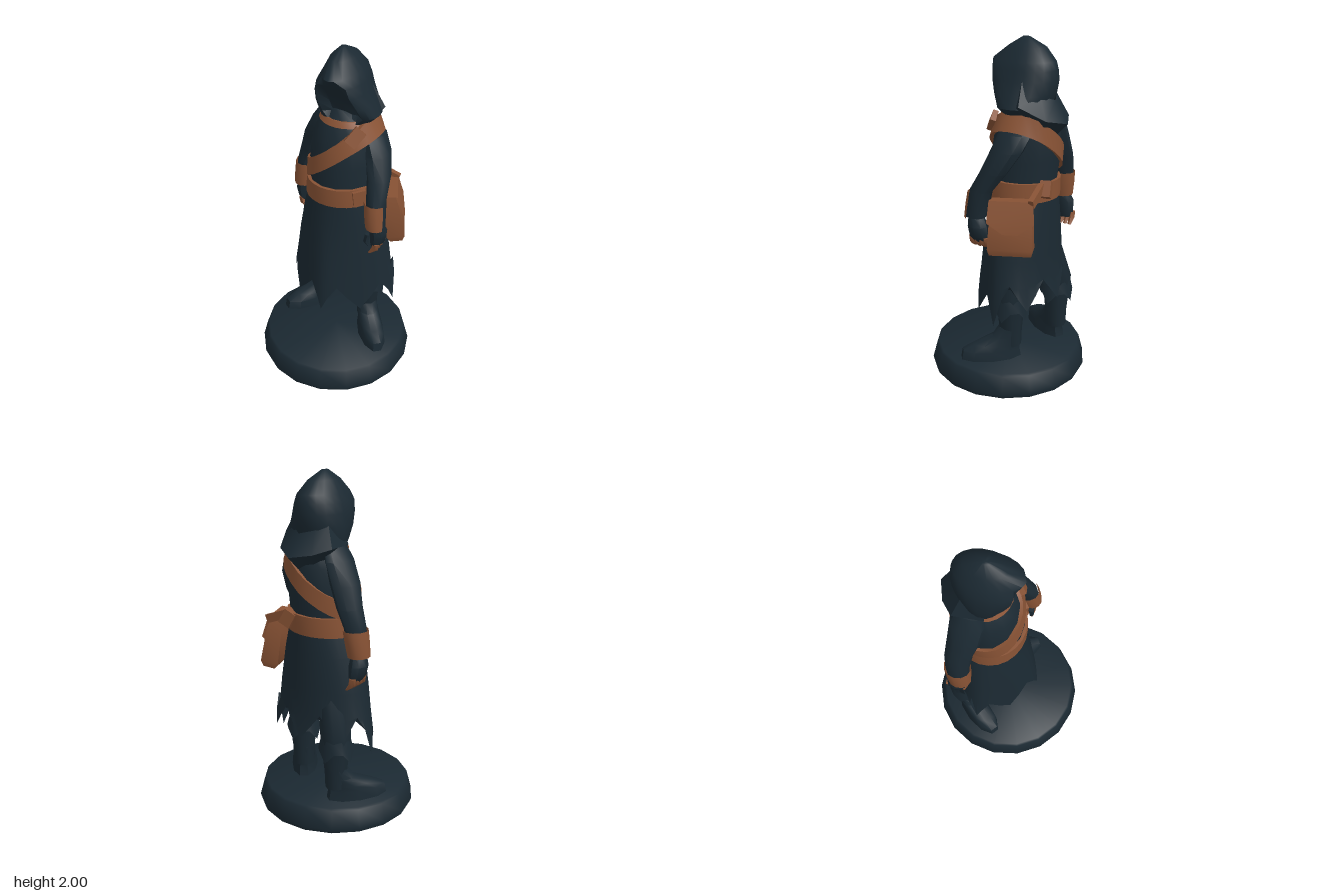
import * as THREE from 'three';
import { toCreasedNormals } from 'three/addons/utils/BufferGeometryUtils.js';

const cloth = new THREE.MeshStandardMaterial({ color: 0x1b2932, side: THREE.DoubleSide });
cloth.name = 'dark cloth';
const leather = new THREE.MeshStandardMaterial({ color: 0x895335, side: THREE.DoubleSide });
leather.name = 'brown leather';

// Elliptical cross-section; k shapes the front half (> 1 pointed, < 1 square), rot turns it about y
function ring(x, y, z, rx, rz, n = 10, rot = 0, k = 1) {
  return Array.from({ length: n }, (_, j) => {
    const a = (j / n) * Math.PI * 2, c = Math.cos(a), s = Math.sin(a);
    const e = s > 0 ? k : 1;
    const X = rx * Math.sign(c) * Math.abs(c) ** e, Z = rz * Math.sign(s) * Math.abs(s) ** e;
    return [x + X * Math.cos(rot) + Z * Math.sin(rot), y, z - X * Math.sin(rot) + Z * Math.cos(rot)];
  });
}

const collapse = (r) => {
  const c = [0, 1, 2].map((i) => r.reduce((t, p) => t + p[i], 0) / r.length);
  return r.map(() => c);
};

// Skin a list of cross-sections ordered from top to bottom
function loft(rings, { capped = true, closed = true, crease = 0.8 } = {}) {
  if (capped) rings = [collapse(rings[0]), ...rings, collapse(rings[rings.length - 1])];
  const n = rings[0].length, index = [];
  for (let i = 0; i < rings.length - 1; i++) {
    for (let j = 0; j < (closed ? n : n - 1); j++) {
      const a = i * n + j, b = i * n + ((j + 1) % n);
      index.push(a, b, a + n, b, b + n, a + n);
    }
  }
  const g = new THREE.BufferGeometry();
  g.setAttribute('position', new THREE.Float32BufferAttribute(rings.flat(2), 3));
  g.setIndex(index);
  return toCreasedNormals(g, crease);
}

// Torso sections: y, centre x, centre z, half width, half depth
const TORSO = [
  [1.66, 0, -0.14, 0.09, 0.1], [1.6, 0.01, -0.14, 0.155, 0.15], [1.5, 0, -0.125, 0.185, 0.185],
  [1.35, 0, -0.115, 0.2, 0.195], [1.2, 0, -0.1, 0.2, 0.19], [1.08, 0, -0.1, 0.21, 0.19],
];

// Point on the torso surface at an angle and height, pushed out by off
function onTorso(a, y, off) {
  let i = 0;
  while (i < TORSO.length - 2 && y < TORSO[i + 1][0]) i++;
  const t = THREE.MathUtils.clamp((TORSO[i][0] - y) / (TORSO[i][0] - TORSO[i + 1][0]), 0, 1);
  const [, cx, cz, rx, rz] = TORSO[i].map((v, m) => THREE.MathUtils.lerp(v, TORSO[i + 1][m], t));
  return [cx + (rx + off) * Math.cos(a), y, cz + (rz + off) * Math.sin(a)];
}

// Flat leather band wrapped round the torso; lift raises it over the left shoulder
function band(height, half, off, lift = 0) {
  const edge = (dy, o) => Array.from({ length: 24 }, (_, j) => {
    const a = (j / 24) * Math.PI * 2;
    return onTorso(a, height(a) + dy, o + lift * Math.max(0, Math.cos(a)) ** 2);
  });
  return loft([edge(half, -0.01), edge(half, off), edge(-half, off), edge(-half, -0.01)], { capped: false });
}

export function createModel() {
  const model = new THREE.Group();
  const add = (name, geo, mat = cloth, parent = model) => {
    const m = new THREE.Mesh(geo, mat);
    m.name = name;
    parent.add(m);
  };
  const box = (name, size, pos, rot) => {
    const g = new THREE.BoxGeometry(...size);
    g.applyMatrix4(new THREE.Matrix4().makeRotationFromEuler(new THREE.Euler(...rot, 'YXZ')).setPosition(...pos));
    add(name, g, leather);
  };
  const limb = (sections, n = 9) => loft(sections.map((s) => ring(...s, n)));

  // Round base with a hollow underside
  add('base', loft([[0.145, 0.43], [0.135, 0.442], [0.03, 0.47], [0.005, 0.46], [0, 0.4], [0.025, 0.22]]
    .map(([y, r]) => ring(0, y, 0, r, r, 18, 0.1))));

  // Torso
  add('torso', loft(TORSO.map(([y, x, z, rx, rz]) => ring(x, y, z, rx, rz, 14))));

  // Skirt with a pointed front and a torn hem
  const skirt = [[1.16, 0.2, 0.19, 1], [1.0, 0.245, 0.205, 1.1], [0.8, 0.285, 0.24, 1.25], [0.64, 0.31, 0.267, 1.35]]
    .map(([y, rx, rz, k]) => ring(0, y, -0.1, rx, rz, 32, 0, k)
      .map(([x, h, z]) => [x, h, z < -0.1 ? -0.1 + (z + 0.1) * (0.2 / rz) * (1 + (1.16 - y) * 0.1) : z]));
  const hem = ring(0, 0, -0.1, 0.345, 0.297, 32, 0, 1.4).map(([x, , z], j) => {
    const tip = 1 - Math.abs((j % 4) - (j % 4 > 2 ? 4 : 0)) / 2;
    const back = j > 16 ? 0.09 : 0;
    const s = 0.94 + 0.06 * tip;
    return [x * s, 0.575 + back - 0.16 * tip, -0.1 + (z + 0.1) * s * (z < -0.1 ? 0.78 : 1)];
  });
  add('skirt', loft([...skirt, hem], { capped: false }));

  // Hood: y, centre x, half width, front depth, back depth, front shape, face recess
  const hood = [
    [2.0, -0.01, 0.015, 0.03, 0.01, 1, 0], [1.95, -0.01, 0.068, 0.115, 0.11, 1.1, 0],
    [1.88, 0, 0.112, 0.205, 0.17, 1.15, 0], [1.835, 0, 0.132, 0.2, 0.18, 0.85, 0.025],
    [1.78, 0.002, 0.146, 0.185, 0.185, 0.75, 0.055], [1.71, 0.015, 0.166, 0.15, 0.175, 0.7, 0.065],
    [1.645, 0.03, 0.18, 0.115, 0.15, 0.75, 0.05], [1.595, 0.01, 0.15, 0.11, 0.14, 1, 0],
  ].map(([y, x, rx, front, back, k, inset]) => ring(x, y, -0.115, rx, front, 20, 0, k)
    .map(([px, py, pz], j) => {
      if (j > 10) return [px, py, -0.115 + (pz + 0.115) * (back / front)];
      return [px, py, Math.abs(j - 5) < 2 ? pz - inset : pz];
    }));
  add('hood', loft(hood));

  // Hood drape hanging on the back
  const rim = [[0.15, 1.625, -0.09], [0.21, 1.665, -0.18], [0.14, 1.59, -0.31], [0.02, 1.56, -0.378],
    [-0.1, 1.58, -0.325], [-0.175, 1.61, -0.25], [-0.15, 1.61, -0.08]];
  const inner = (s, dy) => rim.map(([x, y, z]) => [x * s, y + dy, -0.13 + (z + 0.13) * s]);
  add('hoodDrape', loft([inner(0.68, 0.12), rim, inner(0.72, -0.07)], { capped: false, closed: false }));

  // Chest strap, belt and collar
  add('chestStrap', band((a) => 1.42 + 0.165 * Math.cos(a), 0.056, 0.016, 0.025), leather);
  add('belt', band((a) => 1.175 + 0.008 * Math.cos(a), 0.055, 0.016), leather);
  add('collar', band(() => 1.6, 0.015, 0.006), leather);
  box('strapBuckle', [0.07, 0.1, 0.03], [0.13, 1.555, 0.025], [-0.35, 0.5, -0.7]);
  box('beltBuckle', [0.075, 0.085, 0.03], [0.165, 1.19, 0.035], [0, 0.75, 0.1]);
  box('beltKnot', [0.07, 0.09, 0.06], [0.1, 1.2, -0.295], [0, 0.3, 0.5]);
  box('pouchStrap', [0.16, 0.05, 0.03], [0.19, 1.19, -0.285], [0, 0.1, -0.35]);

  // Belt pouch, wider at the bottom, with a flap
  const pouch = new THREE.Group();
  pouch.name = 'pouch';
  pouch.position.set(0.285, 1.02, -0.183);
  pouch.rotation.set(0, 0.41, 0.16, 'YXZ');
  model.add(pouch);
  add('pouchBody', loft([[0.15, 0.03, 0.1], [0.08, 0.045, 0.115], [-0.12, 0.052, 0.125], [-0.155, 0.035, 0.115]]
    .map(([y, w, d]) => [[w, y, -d], [w, y, d], [-w, y, d], [-w, y, -d]])), leather, pouch);
  add('pouchFlap', loft([
    [[-0.03, 0.155, 0.11], [-0.03, 0.155, -0.11]], [[0.045, 0.15, 0.12], [0.045, 0.15, -0.12]],
    [[0.062, 0.03, 0.13], [0.062, 0.03, -0.13]], [[0.064, -0.03, 0.04], [0.064, -0.03, -0.04]],
  ], { capped: false, closed: false, crease: 0.3 }), leather, pouch);

  // Arms, cuffs and hands
  const arms = [
    { side: 'left', path: [[0.125, 1.565, -0.15, 0.04, 0.07], [0.168, 1.51, -0.14, 0.058, 0.1], [0.205, 1.42, -0.11, 0.072, 0.095],
      [0.245, 1.3, -0.05, 0.066, 0.08], [0.265, 1.19, 0.02, 0.056, 0.068], [0.28, 1.04, 0.045, 0.052, 0.062]] },
    { side: 'right', path: [[-0.12, 1.61, -0.16, 0.05, 0.08], [-0.158, 1.54, -0.17, 0.062, 0.1], [-0.208, 1.42, -0.18, 0.075, 0.095],
      [-0.255, 1.3, -0.2, 0.068, 0.08], [-0.295, 1.19, -0.2, 0.058, 0.068], [-0.312, 1.04, -0.19, 0.052, 0.062]] },
  ];
  for (const { side, path } of arms) {
    const s = side === 'left' ? 1 : -1;
    const [[x0, , z0], [x1, , z1]] = path.slice(-2);
    add(side + 'Arm', limb(path));
    const shell = [[1.185, 0.069, x0, z0], [1.11, 0.067, (x0 + x1) / 2, (z0 + z1) / 2], [1.035, 0.061, x1, z1]]
      .map(([y, r, x, z]) => ring(x, y, z, r, r + 0.008, 12));
    // The left cuff wraps only the front and inner side of the sleeve
    add(side + 'Cuff', s > 0 ? loft(shell.map((r) => r.slice(1, 8)), { capped: false, closed: false })
      : loft(shell, { capped: false }), leather);
    add(side + 'Hand', limb([[x1, 1.05, z1, 0.04, 0.045], [x1 + 0.01 * s, 0.99, z1 - 0.015, 0.05, 0.06],
      [x1 + 0.005 * s, 0.93, z1 - 0.02, 0.042, 0.058], [x1 - 0.005 * s, 0.895, z1 - 0.02, 0.025, 0.045]], 8));
    for (let f = 0; f < 4; f++) {
      const z = z1 - 0.07 + f * 0.03;
      add(side + 'Finger', limb([[x1 + 0.012 * s, 0.925, z, 0.021, 0.018], [x1 + 0.004 * s, 0.885, z, 0.021, 0.018],
        [x1 - 0.025 * s, 0.855, z, 0.011, 0.012]], 5), leather);
    }
    add(side + 'Thumb', limb([[x1 - 0.04 * s, 0.98, z1 + 0.02, 0.018, 0.018], [x1 - 0.05 * s, 0.93, z1 + 0.025, 0.015, 0.015],
      [x1 - 0.035 * s, 0.9, z1 + 0.02, 0.008, 0.008]], 5));
  }

  // Legs, ragged boot tops and turned-out boots
  const legs = [
    { side: 'left', hip: [0.11, -0.12], ankle: [0.165, -0.11], foot: [0.24, -0.02], turn: 0.68 },
    { side: 'right', hip: [-0.11, -0.16], ankle: [-0.185, -0.23], foot: [-0.255, -0.125], turn: -0.58 },
  ];
  for (const { side, hip, ankle: [ax, az], foot: [fx, fz], turn } of legs) {
    add(side + 'Leg', limb([[hip[0], 0.85, hip[1], 0.09, 0.1], [ax, 0.55, az, 0.09, 0.09], [ax, 0.44, az, 0.08, 0.08],
      [ax, 0.32, az, 0.065, 0.068], [ax, 0.22, az, 0.06, 0.065]]));
    const top = ring(ax, 0.53, az, 0.085, 0.085, 12);
    const torn = ring(ax, 0, az, 0.105, 0.1, 12).map(([x, , z], j) => [x, j % 3 ? 0.46 : 0.4, z]);
    add(side + 'BootTop', loft([top, torn], { capped: false }));
    add(side + 'Boot', loft([[0.34, 0, 0.065, 0.068], [0.28, 0.2, 0.065, 0.085], [0.235, 0.7, 0.07, 0.14],
      [0.2, 1, 0.075, 0.175], [0.145, 1, 0.08, 0.185]].map(([y, t, w, l]) =>
      ring(ax + (fx - ax) * t, y, az + (fz - az) * t, w, l, 10, turn))));
  }
  return model;
}
